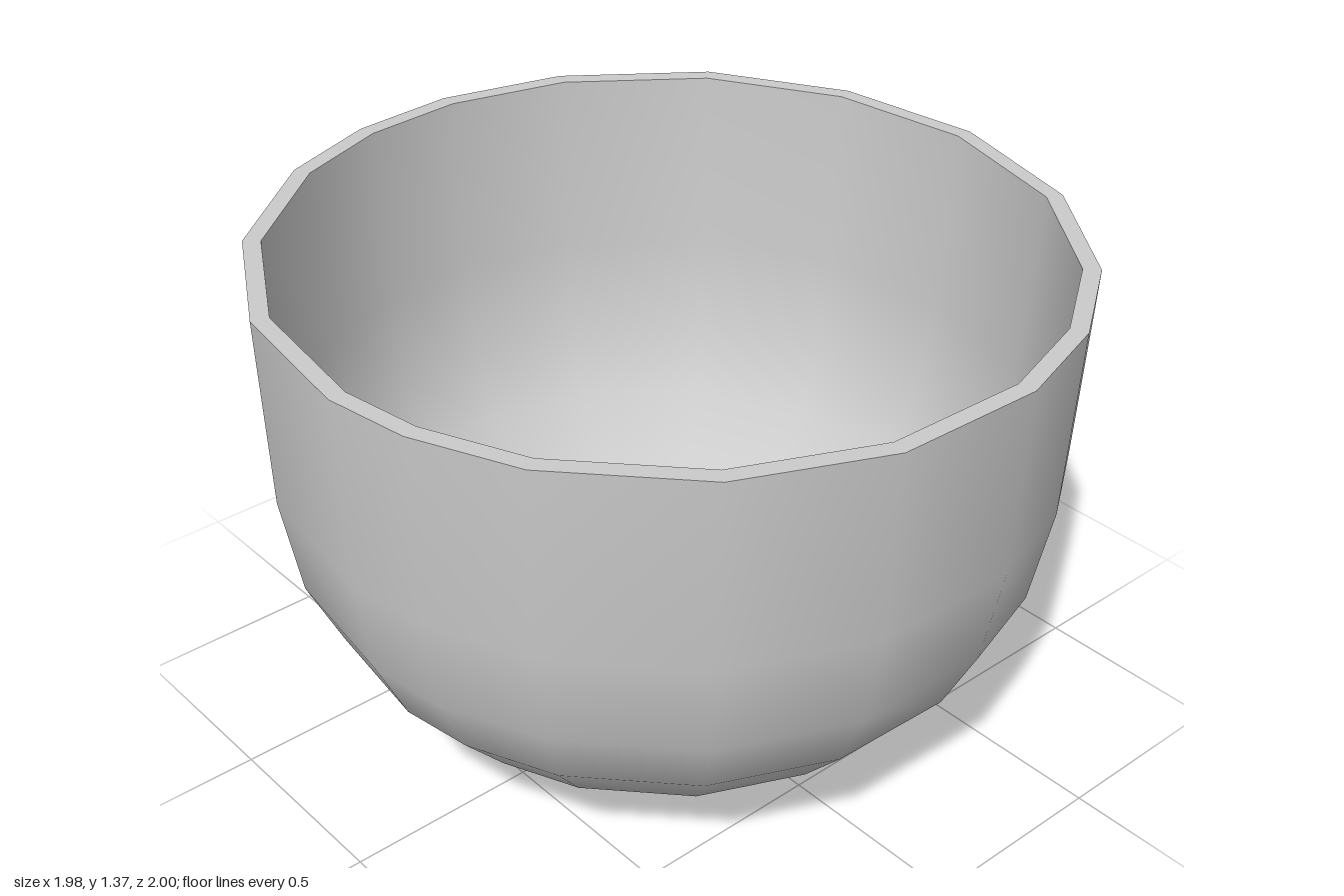
import * as THREE from 'three';

// Uneven positions of the facet edges around the bowl, in degrees from +z towards +x
const EDGES = [-94, -78, -62, -40, -18, 4, 16.4, 32.5, 55, 77, 99, 115.5, 132.6, 154.7, 178, 200.4, 223, 246.5];
const SIDES = EDGES.length;

// Radius / height profiles, centre outwards
const OUTER = [[0, 0], [0.2, 0.018], [0.34, 0.055], [0.54, 0.13], [0.715, 0.26], [0.855, 0.42], [0.94, 0.6], [0.985, 0.86], [1, 1.35]];
const INNER = [[0, 0.045], [0.16, 0.06], [0.31, 0.095], [0.5, 0.17], [0.67, 0.295], [0.805, 0.445], [0.89, 0.615], [0.935, 0.865], [0.956, 1.35]];

// Surface of revolution whose columns are moved to the uneven edge angles
function turned(name, profile, material) {
  const points = profile.map(([r, y]) => new THREE.Vector2(r, y));
  const geo = new THREE.LatheGeometry(points, SIDES);
  for (let i = 0; i <= SIDES; i++) {
    const a = THREE.MathUtils.degToRad(EDGES[i % SIDES] + (i === SIDES ? 360 : 0));
    for (let j = 0; j < points.length; j++) {
      const k = i * points.length + j;
      for (const attr of [geo.attributes.position, geo.attributes.normal]) {
        const radial = Math.hypot(attr.getX(k), attr.getZ(k));
        const sign = attr === geo.attributes.normal && profile[0][0] > profile[profile.length - 1][0] && profile.length > 2 ? -1 : 1;
        attr.setX(k, sign * radial * Math.sin(a));
        attr.setZ(k, sign * radial * Math.cos(a));
      }
    }
  }
  const mesh = new THREE.Mesh(geo, material);
  mesh.name = name;
  return mesh;
}

export function createModel() {
  const model = new THREE.Group();
  model.name = 'bowl';
  const material = new THREE.MeshStandardMaterial({ color: 0xcccccc });

  // Outer wall, flat rim and inner wall, listed so that every face looks outwards
  const bowl = new THREE.Group();
  bowl.name = 'tiltedBowl';
  bowl.add(
    turned('outerWall', OUTER, material),
    turned('rim', [OUTER[OUTER.length - 1], INNER[INNER.length - 1]], material),
    turned('innerWall', [...INNER].reverse(), material)
  );

  // The bowl leans slightly to its left
  bowl.rotation.z = -0.02;
  bowl.position.x = -0.025;
  model.add(bowl);
  return model;
}
